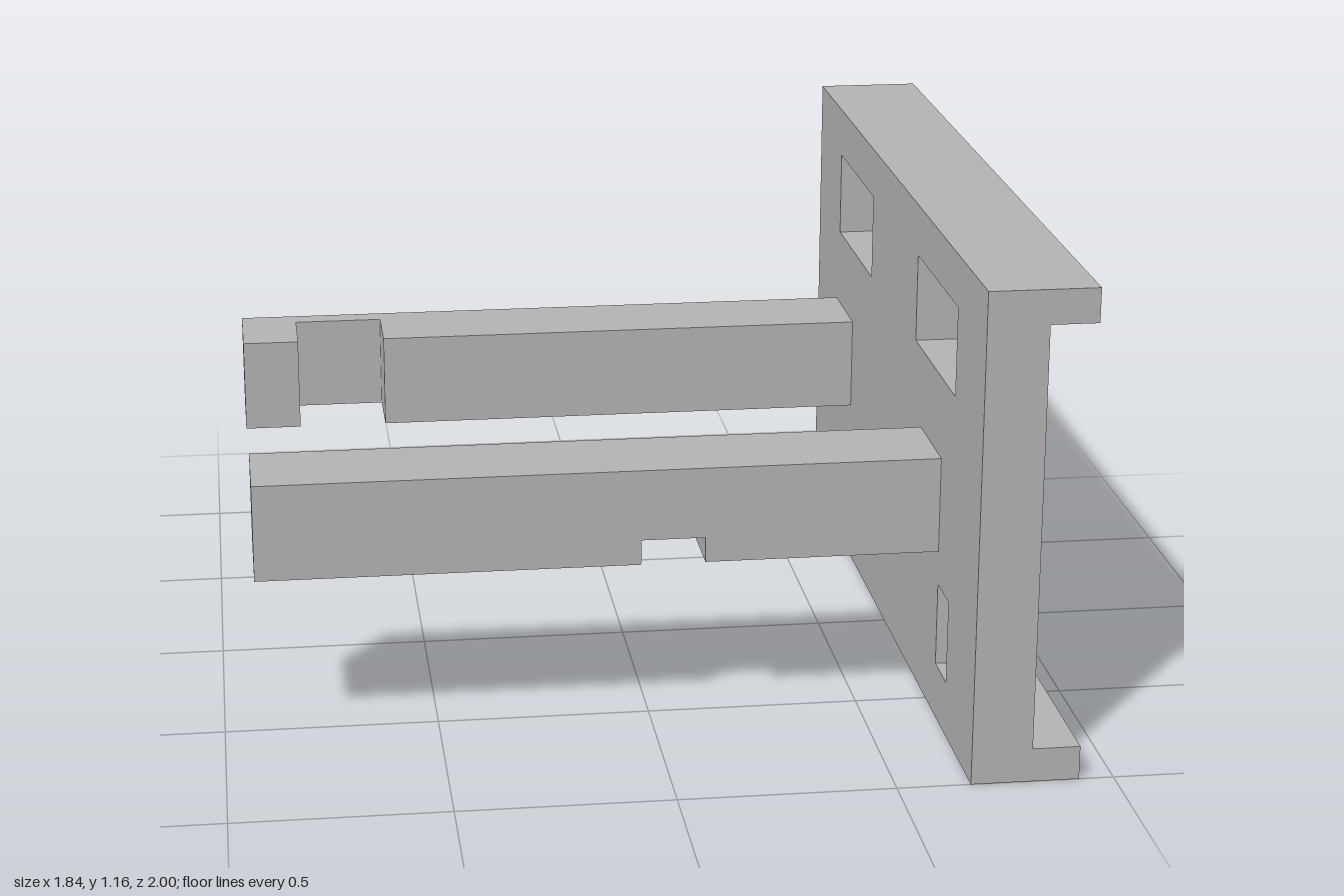
import * as THREE from 'three';

const grey = new THREE.MeshStandardMaterial({ color: 0xb3b3b3 });
grey.name = 'plain grey';

const polygon = (points) => new THREE.Shape(points.map(([x, y]) => new THREE.Vector2(x, y)));
const rectangle = (x0, x1, y0, y1) => polygon([[x0, y0], [x1, y0], [x1, y1], [x0, y1]]);
const extrude = (shape, depth) => new THREE.ExtrudeGeometry(shape, { depth, bevelEnabled: false });

export function createModel() {
  const model = new THREE.Group();
  model.name = 'bracket';

  const add = (name, geometry) => {
    const mesh = new THREE.Mesh(geometry, grey);
    mesh.name = name;
    model.add(mesh);
    return mesh;
  };
  const addBox = (name, x0, x1, y0, y1, z0, z1) =>
    add(name, new THREE.BoxGeometry(x1 - x0, y1 - y0, z1 - z0))
      .position.set((x0 + x1) / 2, (y0 + y1) / 2, (z0 + z1) / 2);

  // Upright plate with four windows, drawn in (-z, y) and extruded along x
  const backX = 0.67, faceX = 0.81, lipX = 0.92, height = 1.16;
  const plate = rectangle(-1, 1, 0, height);
  for (const [z0, z1] of [[0.28, 0.715], [-0.705, -0.27]]) {
    for (const [y0, y1] of [[0.13, 0.33], [0.83, 1.04]]) {
      plate.holes.push(rectangle(-z1, -z0, y0, y1));
    }
  }
  add('plate', extrude(plate, faceX - backX).rotateY(Math.PI / 2).translate(backX, 0, 0));

  // Blocks closing the lower windows, set slightly back from the face
  addBox('frontWindowFill', backX, faceX - 0.015, 0.13, 0.33, 0.28, 0.6);
  addBox('rearWindowFill', backX, faceX - 0.015, 0.13, 0.33, -0.705, -0.27);

  // Lips along the top and bottom edges
  addBox('bottomLip', faceX, lipX, 0, 0.08, -1, 1);
  addBox('topLip', faceX, lipX, height - 0.08, height, -1, 1);

  // Front arm with a shallow slot cut across its underside
  const armEnd = -0.92, armLow = 0.41, armHigh = 0.64;
  const frontArm = polygon([
    [armEnd, armLow], [-0.03, armLow], [-0.03, 0.47], [0.12, 0.47], [0.12, armLow],
    [backX, armLow], [backX, armHigh], [armEnd, armHigh],
  ]);
  add('frontArm', extrude(frontArm, 0.23).translate(0, 0, 0.365));

  // Rear arm with a hooked end, drawn in (x, -z) and extruded upward
  const rearArm = polygon([
    [armEnd, 0.505], [-0.78, 0.505], [-0.78, 0.68], [-0.56, 0.68], [-0.56, 0.505],
    [backX, 0.505], [backX, 0.735], [armEnd, 0.735],
  ]);
  add('rearHookArm', extrude(rearArm, armHigh - armLow).rotateX(-Math.PI / 2).translate(0, armLow, 0));

  return model;
}
